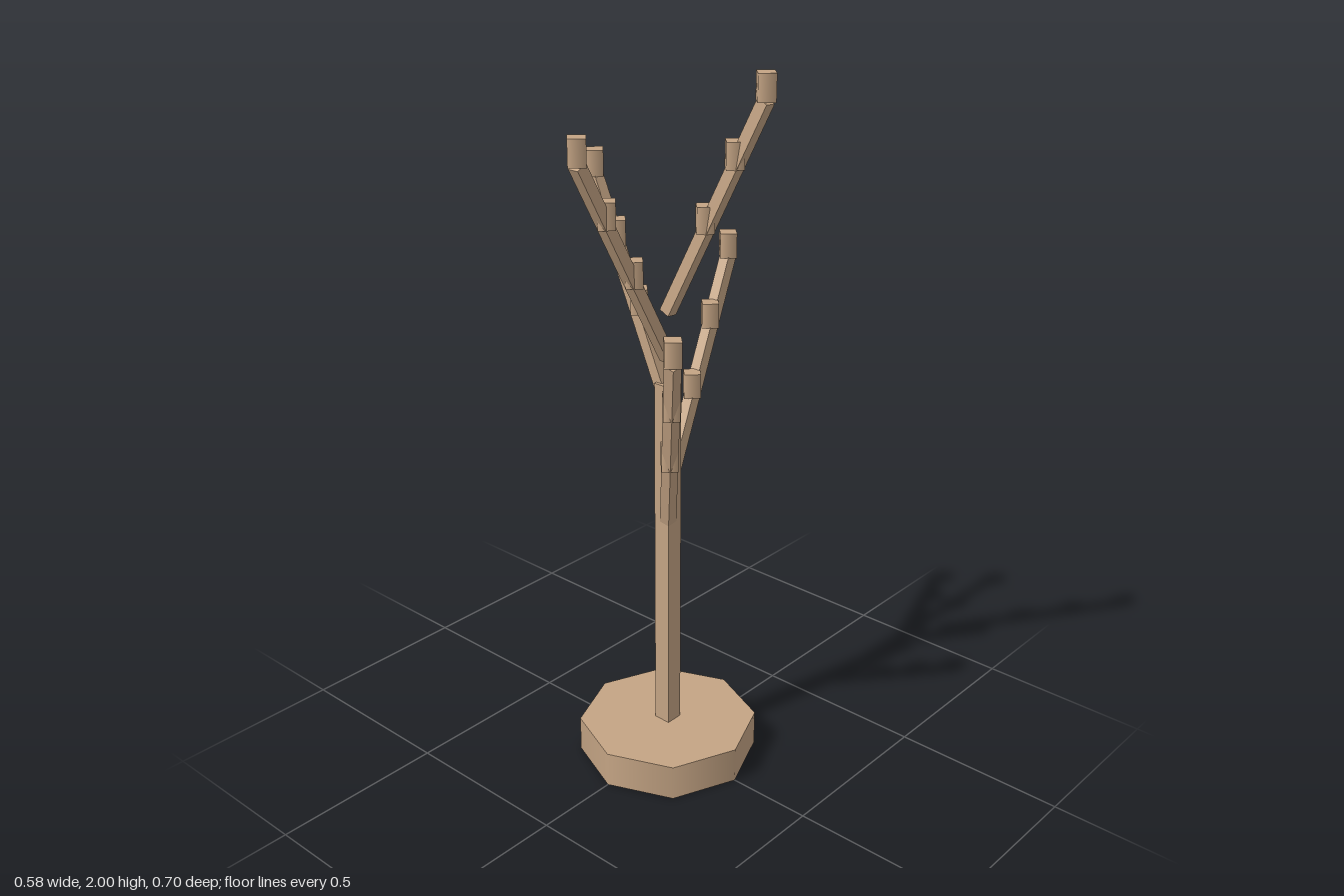
import * as THREE from 'three';

export function createModel() {
  const model = new THREE.Group();
  model.name = 'branchingStand';
  const wood = new THREE.MeshStandardMaterial({ color: 0xc4a484 });
  wood.name = 'light wood';

  const add = (parent, name, geometry, x, y, z) => {
    const mesh = new THREE.Mesh(geometry, wood);
    mesh.name = name;
    mesh.position.set(x, y, z);
    parent.add(mesh);
    return mesh;
  };

  // Octagonal base and square trunk
  add(model, 'base', new THREE.CylinderGeometry(0.256, 0.256, 0.104, 8), 0, 0.052, 0);
  add(model, 'trunk', new THREE.BoxGeometry(0.051, 1.053, 0.051), 0, 0.63, 0);

  // Branches: start height on the trunk axis, then the tip position
  const branches = [
    [0.715, 0.154, 1.29, 0.154],
    [0.843, -0.064, 1.418, -0.32],
    [1.1, -0.256, 1.675, 0],
    [1.227, 0, 1.802, 0.32],
    [1.355, 0.256, 1.93, -0.064],
  ];
  const up = new THREE.Vector3(0, 1, 0);
  const budHeight = 0.07;
  const budGeometry = new THREE.CylinderGeometry(0.032, 0.032, budHeight, 4);

  for (const [startY, x, y, z] of branches) {
    const group = new THREE.Group();
    group.name = 'branch';
    model.add(group);

    const start = new THREE.Vector3(0, startY, 0);
    const tip = new THREE.Vector3(x, y, z);
    const along = tip.clone().sub(start);
    const mid = start.clone().lerp(tip, 0.5);
    const stick = add(group, 'branchStick',
      new THREE.BoxGeometry(0.032, along.length(), 0.032), mid.x, mid.y, mid.z);
    stick.quaternion.setFromUnitVectors(up, along.normalize());

    // Upright pegs standing on the branch
    for (const t of [0.4, 0.7, 1]) {
      const p = start.clone().lerp(tip, t);
      add(group, 'peg', budGeometry, p.x, p.y + budHeight / 2, p.z);
    }
  }
  return model;
}
